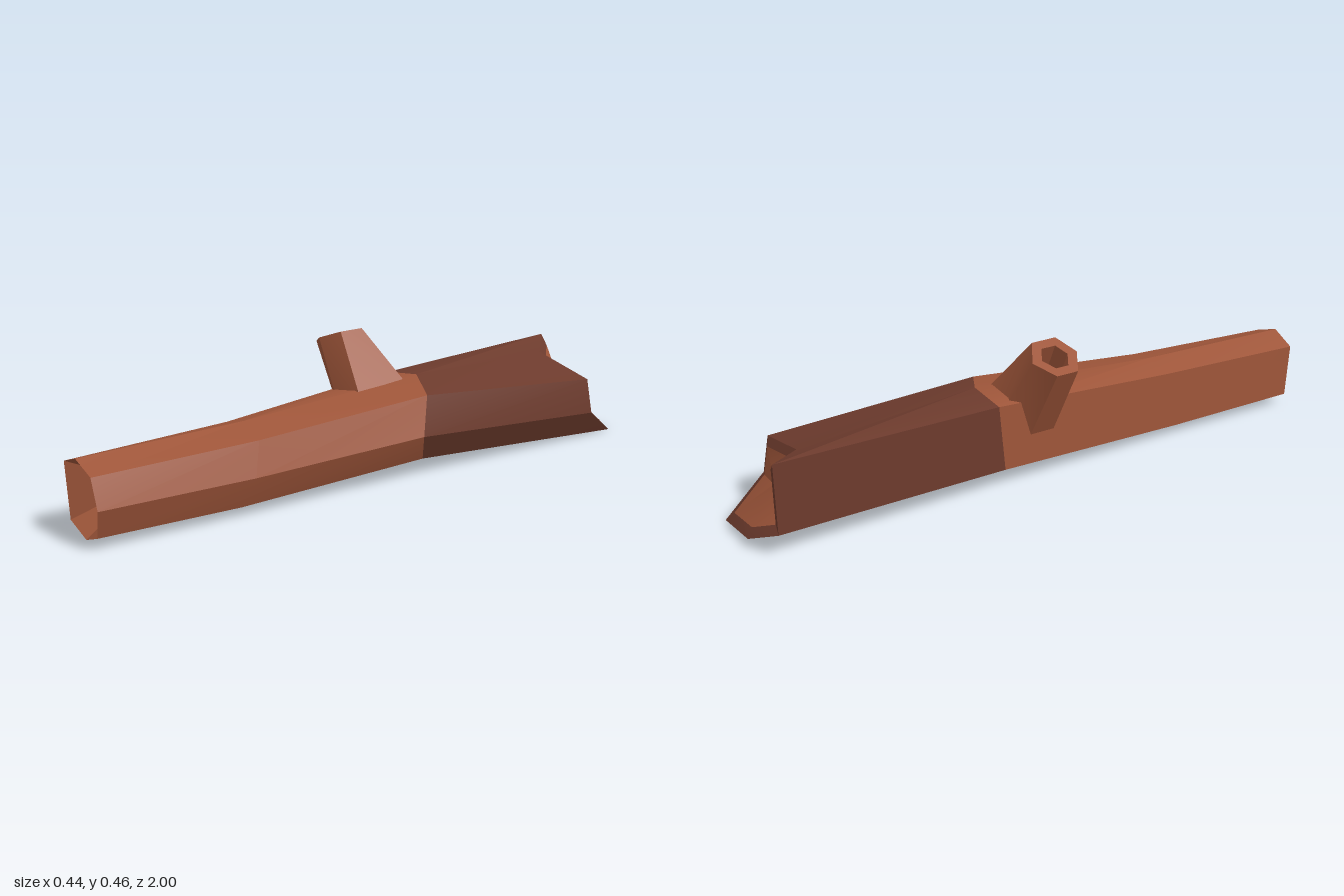
import * as THREE from 'three';
import { toCreasedNormals } from 'three/addons/utils/BufferGeometryUtils.js';

// Skin a list of rings; each ring runs clockwise seen from the first ring's end.
function loft(rings, crease = 0.45) {
  const pos = [];
  const tri = (a, b, c) => {
    const [p, q, r] = [a, b, c].map((v) => new THREE.Vector3(...v));
    if (q.clone().sub(p).cross(r.clone().sub(p)).length() > 1e-8) pos.push(...a, ...b, ...c);
  };
  for (let k = 0; k < rings.length - 1; k++) {
    const a = rings[k], b = rings[k + 1], n = a.length;
    for (let i = 0; i < n; i++) {
      const j = (i + 1) % n;
      tri(a[i], a[j], b[i]);
      tri(a[j], b[j], b[i]);
    }
  }
  const geo = new THREE.BufferGeometry();
  geo.setAttribute('position', new THREE.Float32BufferAttribute(pos, 3));
  return toCreasedNormals(geo, crease);
}

// Shrink a ring toward a point; t = 1 collapses it fully.
const toward = (ring, p, t) => ring.map((v) => v.map((c, i) => c + (p[i] - c) * t));

export function createModel() {
  const paleWood = new THREE.MeshStandardMaterial({ color: 0x9f563a });
  paleWood.name = 'paleWood';
  const darkBark = new THREE.MeshStandardMaterial({ color: 0x6d3b2d });
  darkBark.name = 'darkBark';

  const model = new THREE.Group();
  model.name = 'log';
  const add = (name, rings, material) => {
    const mesh = new THREE.Mesh(loft(rings), material);
    mesh.name = name;
    model.add(mesh);
  };

  // Seven-sided trunk sections, front to back
  const front = [
    [-0.093, 0.218, 0.99], [0, 0.25, 1], [0.088, 0.218, 1], [0.12, 0.128, 1],
    [0.088, 0.038, 0.99], [0, 0.005, 0.98], [-0.093, 0.038, 0.98],
  ];
  const middle = [
    [-0.085, 0.235, 0.45], [0.01, 0.26, 0.45], [0.12, 0.23, 0.47], [0.147, 0.126, 0.5],
    [0.11, 0.032, 0.53], [0.015, 0, 0.55], [-0.085, 0.035, 0.5],
  ];
  const barkEdge = [
    [-0.103, 0.285, -0.2], [0.03, 0.302, -0.21], [0.165, 0.272, -0.14], [0.2, 0.15, -0.1],
    [0.147, 0.057, -0.14], [0.03, 0.04, -0.2], [-0.103, 0.063, -0.18],
  ];
  const back = [
    [-0.127, 0.305, -0.945], [-0.02, 0.275, -0.83], [0.212, 0.222, -0.83], [0.22, 0.1, -0.85],
    [0.17, 0, -1], [-0.02, 0.03, -1], [-0.127, 0.077, -0.945],
  ];

  // Hollow front end and bare trunk
  add('frontHollow', [toward(front, [0.022, 0.145, 0.8], 1), front], paleWood);
  add('bareTrunk', [front, middle, barkEdge], paleWood);

  // Bark-covered trunk, its rim and the broken core
  const rim = toward(back, [0.04, 0.15, -0.91], 0.22);
  add('barkTrunk', [barkEdge, back], darkBark);
  add('barkRim', [back, rim], darkBark);
  add('brokenCore', [rim, toward(rim, [0.04, 0.15, -0.885], 1)], paleWood);

  // Branch stub with a hollow tip, flaring into the trunk
  const tip = [
    [-0.22, 0.4, 0.01], [-0.22, 0.4, -0.065], [-0.148, 0.425, -0.108],
    [-0.075, 0.458, -0.065], [-0.075, 0.458, 0.02], [-0.148, 0.43, 0.052],
  ];
  const base = [
    [-0.1, 0.16, 0.0], [-0.1, 0.16, -0.085], [-0.06, 0.25, -0.16],
    [0.035, 0.295, -0.15], [0.035, 0.285, 0.035], [-0.05, 0.24, 0.055],
  ];
  const lip = toward(tip, [-0.148, 0.428, -0.028], 0.42);
  const floor = lip.map(([x, y, z]) => [x + 0.04, y - 0.085, z]);
  add('branchHollow', [toward(floor, [-0.108, 0.343, -0.028], 1), floor, lip], paleWood);
  add('branchStub', [lip, tip, base], paleWood);

  return model;
}
